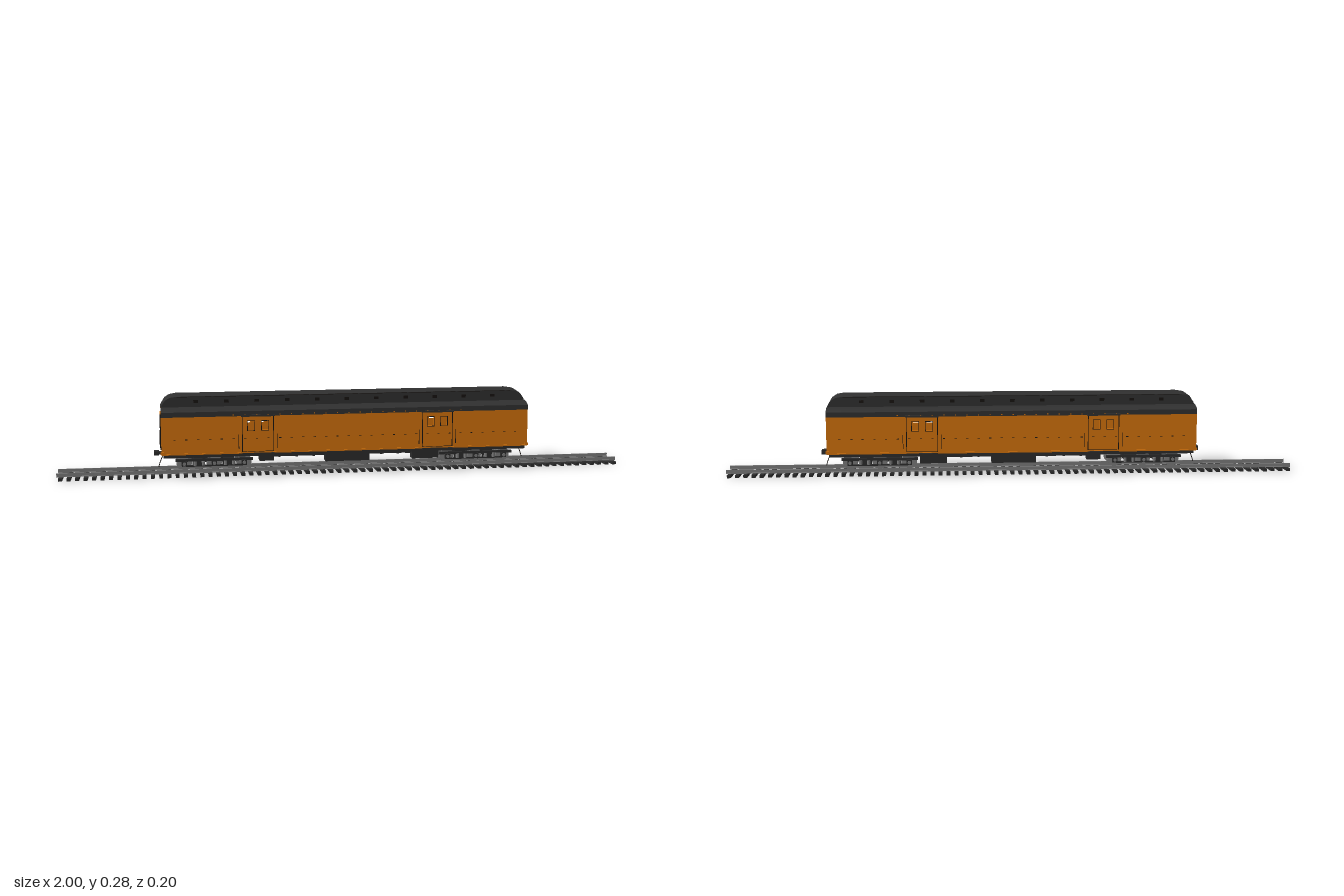
import * as THREE from 'three';
import { toCreasedNormals } from 'three/addons/utils/BufferGeometryUtils.js';

const mat = (name, color) => {
  const m = new THREE.MeshStandardMaterial({ color });
  m.name = name;
  return m;
};

export function createModel() {
  const orange = mat('orange paint', 0xd4730c);
  const roofDark = mat('roof charcoal', 0x303030);
  const frameDark = mat('underframe charcoal', 0x2c2c2c);
  const steel = mat('steel', 0x7c7c7c);
  const black = mat('seam black', 0x171310);

  const model = new THREE.Group();
  model.name = 'baggageCarOnTrack';
  const group = (name, parent = model) => {
    const g = new THREE.Group();
    g.name = name;
    parent.add(g);
    return g;
  };
  const add = (parent, name, geo, m, x = 0, y = 0, z = 0) => {
    const mesh = new THREE.Mesh(geo, m);
    mesh.name = name;
    mesh.position.set(x, y, z);
    parent.add(mesh);
    return mesh;
  };
  // Box given by its limits on each axis
  const box = (parent, name, m, x0, x1, y0, y1, z0, z1) =>
    add(parent, name, new THREE.BoxGeometry(x1 - x0, y1 - y0, z1 - z0), m,
      (x0 + x1) / 2, (y0 + y1) / 2, (z0 + z1) / 2);
  const rect = (T, x0, x1, y0, y1) => {
    const p = new T();
    p.moveTo(x0, y0); p.lineTo(x1, y0); p.lineTo(x1, y1); p.lineTo(x0, y1); p.closePath();
    return p;
  };
  // Rectangular panel with rectangular openings
  const panel = (x0, x1, y0, y1, holes, depth) => {
    const s = rect(THREE.Shape, x0, x1, y0, y1);
    holes.forEach(h => s.holes.push(rect(THREE.Path, ...h)));
    return new THREE.ExtrudeGeometry(s, { depth, bevelEnabled: false });
  };

  // Track
  const track = group('track');
  const ties = 71;
  for (let i = 0; i < ties; i++) {
    const x = -1 + (i + 0.5) * 2 / ties;
    box(track, 'tie', frameDark, x - 0.0065, x + 0.0065, 0, 0.01, -0.069, 0.069);
  }
  for (const s of [-1, 1]) {
    const z = s * 0.039;
    box(track, 'railFoot', steel, -1, 1, 0.01, 0.0125, z - 0.005, z + 0.005);
    box(track, 'railWeb', steel, -1, 1, 0.0125, 0.019, z - 0.001, z + 0.001);
    box(track, 'railHead', steel, -1, 1, 0.019, 0.023, z - 0.0025, z + 0.0025);
  }

  // Side walls: two baggage doors on each, with paired window openings
  const L = 0.645, W = 0.092;
  const body = group('body');
  const windows = [];
  for (const s of [-1, 1]) for (const [a, b] of [[0.28, 0.303], [0.328, 0.351]])
    windows.push([Math.min(s * a, s * b), Math.max(s * a, s * b), 0.163, 0.195]);
  for (const s of [-1, 1]) {
    const side = group('side', body);
    side.rotation.y = s > 0 ? 0 : Math.PI;
    add(side, 'sideWall', panel(-L, L, 0.083, 0.213, windows, 0.006), orange, 0, 0, W - 0.006);
    box(side, 'eaveBand', roofDark, -L, L, 0.213, 0.23, W - 0.006, W + 0.001);
    box(side, 'lowerTrim', orange, -L, L, 0.083, 0.088, W, W + 0.002);
    for (const d of [-0.316, 0.316]) {
      const door = group('baggageDoor', side);
      add(door, 'doorOutline', panel(d - 0.055, d + 0.055, 0.089, 0.212,
        [[d - 0.0525, d + 0.0525, 0.0905, 0.2105]], 0.001), black, 0, 0, W);
      box(door, 'doorHeader', roofDark, d - 0.058, d + 0.058, 0.211, 0.217, W, W + 0.006);
      box(door, 'doorSill', frameDark, d - 0.055, d + 0.055, 0.08, 0.085, W, W + 0.005);
      windows.filter(h => h[0] * d > 0).forEach(([a, b, c, e]) =>
        add(door, 'windowFrame', panel(a - 0.002, b + 0.002, c - 0.002, e + 0.002,
          [[a, b, c, e]], 0.001), black, 0, 0, W));
      for (const g of [-1, 1])
        box(door, 'grabIron', black, d + g * 0.066 - 0.0008, d + g * 0.066 + 0.0008,
          0.1, 0.15, W, W + 0.003);
    }
    // Rivets on the belt line and the eave band
    for (let i = -15; i <= 15; i++) {
      const x = i * 0.04;
      box(side, 'beltRivet', black, x - 0.004, x + 0.004, 0.1345, 0.1365, W, W + 0.001);
      if (Math.abs(x) < 0.43)
        box(side, 'eaveRivet', orange, x - 0.002, x + 0.002, 0.216, 0.219, W, W + 0.002);
    }
  }

  // End walls, each with a door, grab iron and coupler
  for (const s of [-1, 1]) {
    const end = group('end', body);
    end.rotation.y = s * Math.PI / 2;
    const hole = [-0.015, 0.015, 0.163, 0.198];
    add(end, 'endWall', panel(-W, W, 0.083, 0.228, [hole], 0.006), orange, 0, 0, L - 0.006);
    add(end, 'doorFrame', panel(-0.031, 0.031, 0.092, 0.219,
      [[-0.023, 0.023, 0.092, 0.213]], 0.003), orange, 0, 0, L);
    for (const q of [-1, 1]) for (const e of [0.0235, 0.0315])
      box(end, 'doorSeam', black, q * e - 0.0005, q * e + 0.0005, 0.092, 0.217, L, L + 0.0035);
    add(end, 'doorWindowFrame', panel(-0.0165, 0.0165, 0.1615, 0.1995, [hole], 0.001), black, 0, 0, L);
    box(end, 'grabIron', black, -0.064, -0.062, 0.083, 0.147, L, L + 0.005);
    for (const q of [-1, 1])
      box(end, 'cornerBracket', orange, q * 0.093 - 0.003, q * 0.093 + 0.003, 0.086, 0.094, L - 0.008, L + 0.003);
    box(end, 'couplerShank', frameDark, -0.006, 0.006, 0.072, 0.082, 0.6, 0.66);
    box(end, 'couplerHead', frameDark, -0.013, 0.013, 0.07, 0.085, 0.653, 0.67);
    const hose = new THREE.CatmullRomCurve3([[0.004, 0.07, 0.64], [0.002, 0.045, 0.65], [0, 0.028, 0.655]]
      .map(p => new THREE.Vector3(...p)));
    add(end, 'airHose', new THREE.TubeGeometry(hose, 8, 0.0015, 6), black);
  }

  // Roofs: cross-section carried along the car, lowered towards the ends
  const half = [[-0.645, 0.1], [-0.641, 0.42], [-0.63, 0.74], [-0.614, 0.93], [-0.592, 1]];
  const stations = [...half, ...half.map(([x, f]) => [-x, f]).reverse()];
  const roof = (name, pts, base, drop) => {
    const full = [...pts, ...pts.map(([z, y]) => [-z, y]).reverse()];
    const shape = new THREE.Shape(full.map(p => new THREE.Vector2(...p)));
    const n = stations.length - 1;
    const geo = new THREE.ExtrudeGeometry(shape, { depth: 1, steps: n, bevelEnabled: false });
    const p = geo.attributes.position;
    for (let i = 0; i < p.count; i++) {
      const [x, f] = stations[Math.round(p.getZ(i) * n)];
      const k = drop ? f : 1;
      p.setY(i, base + (p.getY(i) - base) * k);
      p.setZ(i, x);
    }
    geo.rotateY(Math.PI / 2);
    add(body, name, toCreasedNormals(geo, 0.5), roofDark);
  };
  roof('lowerRoof', [[0.093, 0.227], [0.092, 0.2295], [0.084, 0.2345], [0.072, 0.239],
    [0.06, 0.2415], [0.045, 0.243]], 0.227, false);
  roof('clerestory', [[0.05, 0.228], [0.05, 0.2785], [0.04, 0.2815], [0.022, 0.2835],
    [0.006, 0.2845]], 0.228, true);
  for (const s of [-1, 1]) {
    box(body, 'clerestoryEave', black, -0.59, 0.59, 0.2765, 0.278, s * 0.0505 - 0.0008, s * 0.0505 + 0.0008);
    for (let i = -5; i <= 5; i++)
      box(body, 'roofVent', black, i * 0.105 - 0.008, i * 0.105 + 0.008, 0.256, 0.266,
        s * 0.0505 - 0.0008, s * 0.0505 + 0.0008);
  }

  // Underframe and equipment boxes
  const under = group('underframe');
  box(under, 'floor', frameDark, -0.638, 0.638, 0.072, 0.085, -0.085, 0.085);
  box(under, 'centreSill', frameDark, -0.62, 0.62, 0.062, 0.072, -0.016, 0.016);
  for (const s of [-1, 1]) {
    box(under, 'sideSill', frameDark, -0.3, 0.3, 0.065, 0.073, s * 0.06 - 0.006, s * 0.06 + 0.006);
    box(under, 'batteryBox', frameDark, -0.08, 0.075, 0.045, 0.072, s * 0.062 - 0.018, s * 0.062 + 0.018);
    box(under, 'equipmentBox', frameDark, -0.31, -0.26, 0.052, 0.072, s * 0.055 - 0.018, s * 0.055 + 0.018);
    box(under, 'toolBox', frameDark, 0.23, 0.325, 0.045, 0.072, s * 0.055 - 0.018, s * 0.055 + 0.018);
  }
  for (let i = -4; i <= 4; i++)
    box(under, 'crossBeam', frameDark, i * 0.06 - 0.004, i * 0.06 + 0.004, 0.063, 0.073, -0.066, 0.066);

  // Six-wheel trucks
  const cyl = (r, len, n = 24) => new THREE.CylinderGeometry(r, r, len, n).rotateX(Math.PI / 2);
  for (const s of [-1, 1]) {
    const truck = group('truck');
    truck.position.x = s * 0.465;
    box(truck, 'bolster', frameDark, -0.07, 0.07, 0.045, 0.066, -0.03, 0.03);
    add(truck, 'centrePlate', new THREE.CylinderGeometry(0.02, 0.02, 0.012, 20), frameDark, 0, 0.068, 0);
    for (const b of [-0.052, 0.052])
      box(truck, 'transom', frameDark, b - 0.011, b + 0.011, 0.038, 0.058, -0.06, 0.06);
    for (const x of [-0.103, 0, 0.103]) {
      add(truck, 'axle', cyl(0.005, 0.12, 12), steel, x, 0.047, 0);
      for (const q of [-1, 1]) {
        add(truck, 'wheel', cyl(0.024, 0.009), steel, x, 0.047, q * 0.0425);
        add(truck, 'flange', cyl(0.027, 0.002), steel, x, 0.047, q * 0.0365);
        box(truck, 'journalBox', frameDark, x - 0.009, x + 0.009, 0.038, 0.056, q * 0.058 - 0.007, q * 0.058 + 0.007);
        add(truck, 'journalCap', cyl(0.006, 0.003, 12), steel, x, 0.047, q * 0.066);
      }
    }
    for (const q of [-1, 1]) {
      box(truck, 'sideFrame', frameDark, -0.133, 0.133, 0.054, 0.063, q * 0.056 - 0.004, q * 0.056 + 0.004);
      for (const b of [-0.052, 0.052]) {
        box(truck, 'equalizer', frameDark, b - 0.046, b + 0.046, 0.036, 0.041, q * 0.058 - 0.003, q * 0.058 + 0.003);
        for (const e of [-0.014, 0.014])
          add(truck, 'spring', new THREE.CylinderGeometry(0.006, 0.006, 0.015, 10), steel, b + e, 0.047, q * 0.058);
        box(truck, 'brakeShoe', frameDark, b - 0.023, b - 0.018, 0.036, 0.055, q * 0.042 - 0.004, q * 0.042 + 0.004);
      }
    }
  }
  return model;
}
